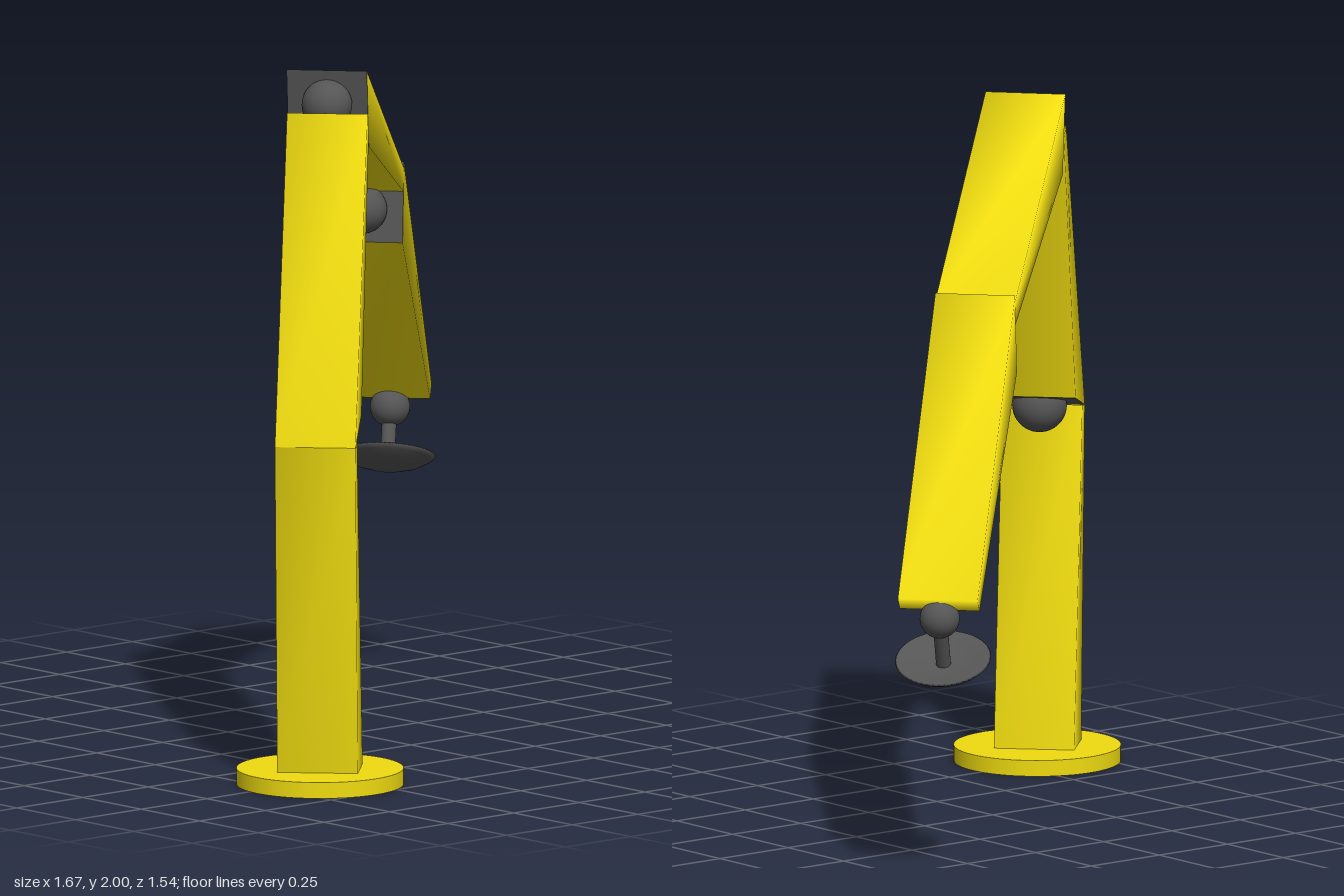
import * as THREE from 'three';

const yellow = new THREE.MeshStandardMaterial({ color: 0xf0dc10 });
const grey = new THREE.MeshStandardMaterial({ color: 0x555555 });

// Geometry from corner loops (quads) with shared, smooth vertices
function quads(points, faces) {
  const g = new THREE.BufferGeometry();
  g.setAttribute('position', new THREE.Float32BufferAttribute(points.flat(), 3));
  g.setIndex(faces.flatMap(([a, b, c, d]) => [a, b, c, a, c, d]));
  g.computeVertexNormals();
  return g;
}

function add(parent, name, geometry, material, x = 0, y = 0, z = 0) {
  const mesh = new THREE.Mesh(geometry, material);
  mesh.name = name;
  mesh.position.set(x, y, z);
  parent.add(mesh);
  return mesh;
}

// Tapered arm: four (x, y) corners, counterclockwise; the first two form the wide end
function arm(parent, name, corners, capMaterial) {
  const half = 0.115;
  const points = [half, -half].flatMap(z => corners.map(([x, y]) => [x, y, z]));
  const side = i => [i, i + 4, (i + 1) % 4 + 4, (i + 1) % 4];
  add(parent, name, quads(points, [[0, 1, 2, 3], [7, 6, 5, 4], side(1), side(2), side(3)]), yellow);
  add(parent, name + 'EndPlate', quads([points[0], points[4], points[5], points[1]], [[0, 1, 2, 3]]), capMaterial);
}

function ball(parent, name, x, y, r) {
  add(parent, name, new THREE.SphereGeometry(r, 32, 20), grey, x, y);
}

function lathe(profile) {
  return new THREE.LatheGeometry(profile.map(([r, y]) => new THREE.Vector2(r, y)), 48);
}

export function createModel() {
  const model = new THREE.Group();
  model.name = 'articulatedArm';

  // Lower half: base, post and leaning arm
  const lower = new THREE.Group();
  lower.name = 'lowerArm';
  lower.position.set(-0.6, 0, 0.535);
  lower.rotation.y = THREE.MathUtils.degToRad(43.5);
  model.add(lower);

  add(lower, 'basePlate', new THREE.CylinderGeometry(0.238, 0.238, 0.046, 64), yellow, 0, 0.023);
  arm(lower, 'post', [[-0.085, 0.04], [0.075, 0.04], [-0.11, 1.01], [-0.165, 1.0]], yellow);
  arm(lower, 'leaningArm', [[-0.165, 1.0], [0.04, 1.06], [0.3, 1.865], [0.25, 1.89]], grey);
  ball(lower, 'postJoint', -0.05, 1.02, 0.078);

  // Upper half: boom, forearm and suction foot
  const upper = new THREE.Group();
  upper.name = 'upperArm';
  upper.position.set(-0.365, 0, 0.3);
  upper.rotation.y = THREE.MathUtils.degToRad(41.2);
  model.add(upper);

  arm(upper, 'boom', [[0, 2.0], [0.045, 1.775], [0.845, 1.5], [0.865, 1.56]], grey);
  arm(upper, 'forearm', [[0.855, 1.585], [0.825, 1.355], [1.46, 0.79], [1.495, 0.825]], grey);
  ball(upper, 'boomJoint', 0.005, 1.9, 0.072);
  ball(upper, 'forearmJoint', 0.825, 1.45, 0.07);

  // Tilted foot hanging from the tip joint
  const foot = new THREE.Group();
  foot.name = 'foot';
  foot.position.set(1.46, 0.765, 0);
  foot.rotation.z = THREE.MathUtils.degToRad(-24);
  upper.add(foot);
  ball(foot, 'tipJoint', 0, 0, 0.057);
  add(foot, 'stem', new THREE.CylinderGeometry(0.021, 0.021, 0.15, 24), grey, 0, -0.085);
  add(foot, 'dish', lathe([
    [0, -0.045], [0.05, -0.041], [0.095, -0.028], [0.125, -0.011], [0.137, 0],
    [0.132, 0.004], [0.1, -0.006], [0.05, -0.016], [0, -0.019],
  ]), grey, 0, -0.14);

  return model;
}
